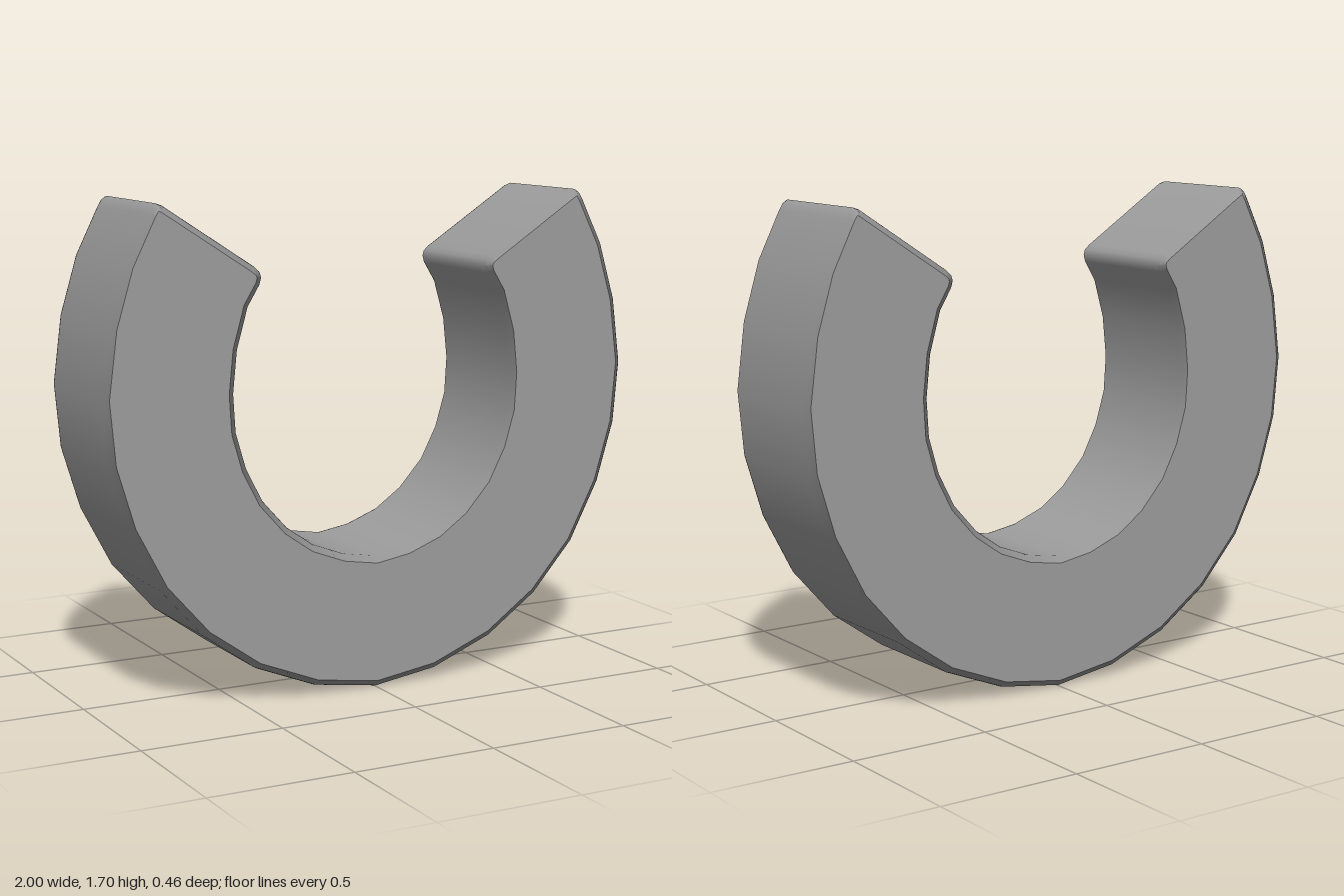
import * as THREE from 'three';
import { mergeVertices, toCreasedNormals } from 'three/addons/utils/BufferGeometryUtils.js';

// Half outline on the +x side: outer arc, rounded tip, then back along the inner arc
const HALF = [
  [0, 0], [0.235, 0.035], [0.46, 0.125], [0.65, 0.26], [0.805, 0.435], [0.915, 0.645],
  [0.98, 0.86], [1, 1.08], [0.97, 1.31], [0.91, 1.51],
  [0.83, 1.67], [0.816, 1.693], [0.8, 1.704], [0.78, 1.697],
  [0.455, 1.487], [0.436, 1.47], [0.43, 1.45], [0.437, 1.425],
  [0.48, 1.355], [0.52, 1.215], [0.535, 1.07], [0.527, 0.94], [0.49, 0.815],
  [0.43, 0.70], [0.34, 0.60], [0.24, 0.53], [0.122, 0.485], [0, 0.465],
];
const DEPTH = 0.465;
const BEVEL = 0.022;

export function createModel() {
  const group = new THREE.Group();
  group.name = 'horseshoe';

  // Mirror the half outline; points on the centre line are used once
  const mirrored = HALF.slice(1, -1).reverse().map(([x, y]) => [-x, y]);
  const outline = [...HALF, ...mirrored].map(([x, y]) => new THREE.Vector2(x, y));

  // Thick open ring with softly rounded edges
  let geometry = new THREE.ExtrudeGeometry(new THREE.Shape(outline), {
    depth: DEPTH - 2 * BEVEL,
    bevelThickness: BEVEL,
    bevelSize: BEVEL,
    bevelOffset: -BEVEL,
    bevelSegments: 3,
  });
  geometry.translate(0, 0, BEVEL - DEPTH / 2);
  const capCount = geometry.groups[0].count;
  geometry.deleteAttribute('uv');
  geometry.deleteAttribute('normal');
  geometry = toCreasedNormals(mergeVertices(geometry, 1e-4), 0.7);

  // Flat front and back faces; the rim shades smoothly across its rounded edges
  const { position, normal } = geometry.attributes;
  const n = new THREE.Vector3();
  for (let i = 0; i < normal.count; i++) {
    if (i < capCount) n.set(0, 0, Math.sign(position.getZ(i)));
    else n.fromBufferAttribute(normal, i).setZ(0).normalize();
    normal.setXYZ(i, n.x, n.y, n.z);
  }

  const ring = new THREE.Mesh(geometry, new THREE.MeshStandardMaterial({ color: 0x9d9d9d }));
  ring.name = 'openRing';
  group.add(ring);
  return group;
}
